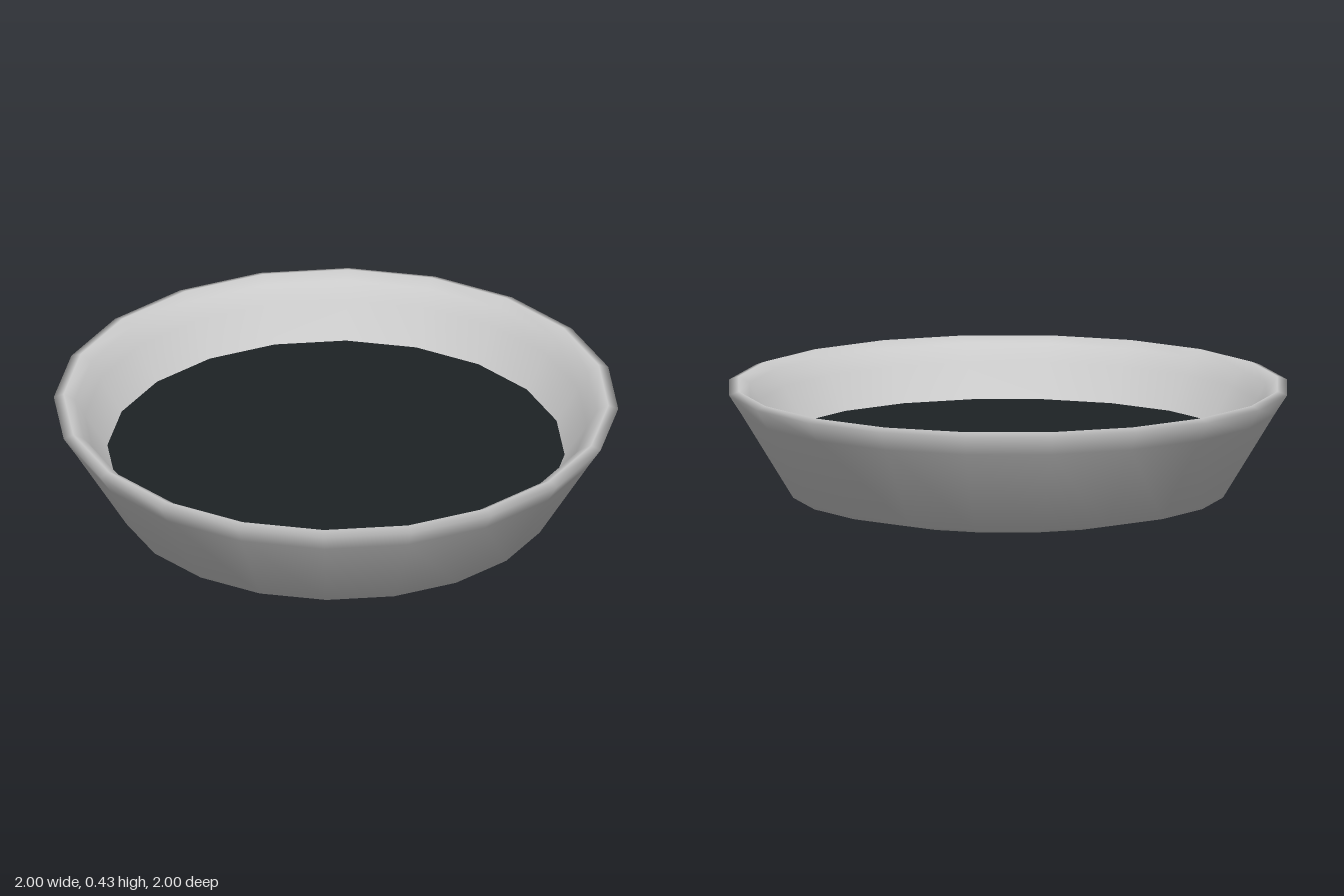
import * as THREE from 'three';

const SIDES = 20;

export function createModel() {
  const model = new THREE.Group();

  // Bowl: outer wall from the base up, over the rim, down the inside to the floor
  const profile = [
    [0, 0], [0.57, 0], [0.77, 0.045], [0.955, 0.35], [1, 0.42],
    [0.965, 0.433], [0.925, 0.41], [0.89, 0.35], [0.81, 0.23], [0.71, 0.09], [0.55, 0.05], [0, 0.05],
  ].map(([r, y]) => new THREE.Vector2(r, y));
  const bowl = new THREE.Mesh(
    new THREE.LatheGeometry(profile, SIDES),
    new THREE.MeshStandardMaterial({ color: 0xcccccc })
  );
  bowl.name = 'bowl';
  model.add(bowl);

  // Flat dark surface of the contents
  const contents = new THREE.Mesh(
    new THREE.CircleGeometry(0.81, SIDES).rotateX(-Math.PI / 2),
    new THREE.MeshStandardMaterial({ color: 0x1d2225 })
  );
  contents.position.y = 0.231;
  contents.name = 'contents';
  model.add(contents);

  return model;
}
